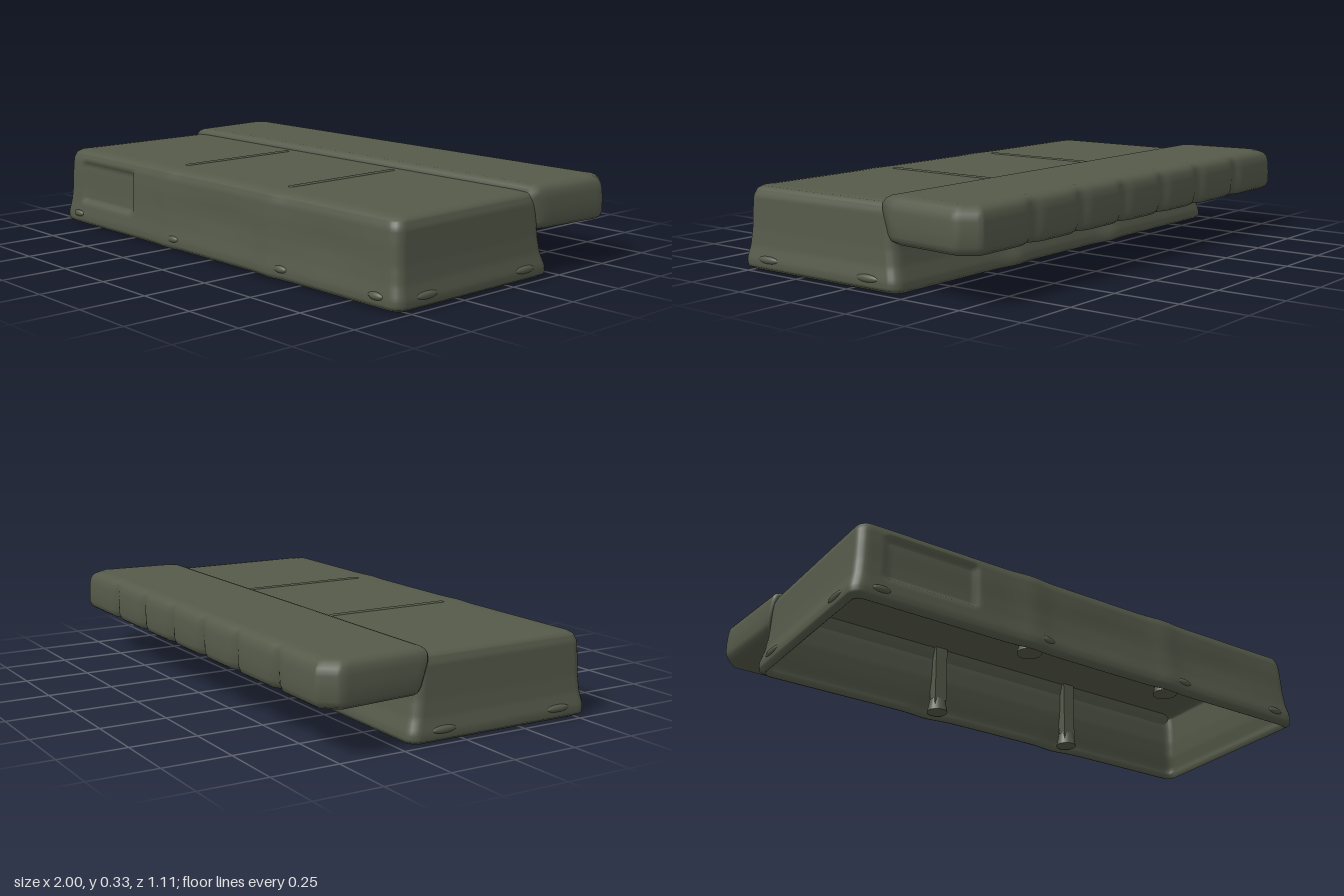
import * as THREE from 'three';

const lerp = THREE.MathUtils.lerp;
const smooth = THREE.MathUtils.smoothstep;
const bump = (v, centre, width) => Math.exp(-(((v - centre) / width) ** 2));

// Skin a stack of closed rings and close both ends with fans
function loft(rings) {
  const n = rings[0].length;
  const pos = rings.flat(2);
  const index = [];
  for (let j = 0; j < rings.length - 1; j++) {
    for (let i = 0; i < n; i++) {
      const a = j * n + i, b = j * n + (i + 1) % n;
      index.push(a, a + n, b, b, a + n, b + n);
    }
  }
  const cap = (ring, start, flip) => {
    const c = pos.length / 3;
    const zs = ring.map((p) => p[2]);
    pos.push(0, ring[0][1], (Math.min(...zs) + Math.max(...zs)) / 2);
    for (let i = 0; i < n; i++) {
      const a = start + i, b = start + (i + 1) % n;
      index.push(c, flip ? b : a, flip ? a : b);
    }
  };
  cap(rings[0], 0, false);
  cap(rings[rings.length - 1], (rings.length - 1) * n, true);
  const g = new THREE.BufferGeometry();
  g.setAttribute('position', new THREE.Float32BufferAttribute(pos, 3));
  g.setIndex(index);
  g.computeVertexNormals();
  return g;
}

// Rounded rectangle in plan, finely divided along its long edges
function roundedRing(hw, zf, zb, y, r) {
  const pts = [];
  const corner = (cx, cz, start) => {
    for (let i = 0; i <= 5; i++) {
      const a = start + (i / 5) * Math.PI / 2;
      pts.push([cx + r * Math.cos(a), y, cz + r * Math.sin(a)]);
    }
  };
  const edge = (x0, x1, z) => {
    for (let i = 1; i < 130; i++) pts.push([lerp(x0, x1, i / 130), y, z]);
  };
  corner(hw - r, zf - r, 0);
  edge(hw - r, r - hw, zf);
  corner(r - hw, zf - r, Math.PI / 2);
  corner(r - hw, zb + r, Math.PI);
  edge(r - hw, hw - r, zb);
  corner(hw - r, zb + r, Math.PI * 1.5);
  return pts;
}

// Wall profile: height, half width, front z, back z
const PROFILE = [
  [0.004, 0.965, 0.53, -0.2], [0.012, 0.983, 0.543, -0.212], [0.04, 0.985, 0.545, -0.211],
  [0.09, 0.973, 0.537, -0.195], [0.15, 0.967, 0.532, -0.185], [0.22, 0.964, 0.53, -0.18],
  [0.27, 0.962, 0.526, -0.18], [0.295, 0.952, 0.517, -0.17], [0.305, 0.94, 0.5, -0.16],
  [0.308, 0.91, 0.47, -0.13], [0.308, 0.89, 0.45, -0.11],
];
function wallAt(y) {
  let i = 0;
  while (i < PROFILE.length - 2 && PROFILE[i + 1][0] < y) i++;
  const [a, b] = [PROFILE[i], PROFILE[i + 1]];
  const t = (y - a[0]) / (b[0] - a[0]);
  return a.map((v, k) => lerp(v, b[k], t));
}

// Recessed front panel, and swellings along the front and back walls
function shapeWall([x, y, z]) {
  if (z > 0.46) {
    const inX = smooth(x, -0.87, -0.848) * (1 - smooth(x, -0.515, -0.493));
    const inY = smooth(y, 0.09, 0.108) * (1 - smooth(y, 0.252, 0.268));
    z -= 0.014 * inX * inY;
    z += 0.008 * (bump(x, -0.27, 0.06) + bump(x, 0.34, 0.06));
    z -= 0.006 * (bump(x, 0.05, 0.2) + bump(x, 0.63, 0.18)) * bump(y, 0.17, 0.08);
  } else if (z < -0.15) {
    z -= 0.014 * (bump(x, -0.27, 0.07) + bump(x, 0.34, 0.07)) * bump(y, 0.02, 0.06);
  }
  return [x, y, z];
}

function trayGeometry() {
  const rings = [];
  const add = (hw, zf, zb, y, r) => rings.push(roundedRing(hw, zf, zb, y, r).map(shapeWall));
  const T = 0.028;
  // Ceiling and inner walls, going down
  add(0.88, 0.45, -0.1, 0.28, 0.03);
  add(0.915, 0.485, -0.14, 0.28, 0.03);
  for (let i = 0; i <= 22; i++) {
    const [y, hw, zf, zb] = wallAt(lerp(0.268, 0.016, i / 22));
    add(hw - T, zf - T, zb + T, y, 0.03);
  }
  // Rim and outer walls, going up
  add(0.963, 0.522, -0.192, 0.002, 0.03);
  for (let i = 0; i <= 28; i++) {
    const [y, hw, zf, zb] = wallAt(lerp(0.004, 0.29, i / 28));
    add(hw, zf, zb, y, 0.04);
  }
  PROFILE.slice(7).forEach(([y, hw, zf, zb]) => add(hw, zf, zb, y, 0.04));
  return loft(rings);
}

// Overhanging rear box with a scalloped back edge
function rearGeometry() {
  const dips = [-0.67, -0.38, -0.12, 0.14, 0.4, 0.67];
  const ring = ([y, inset, depth]) => {
    const front = lerp(-0.165, -0.128, smooth(y, 0.18, 0.32)) - inset * 0.6;
    const pts = [];
    const line = (x0, z0, x1, z1, n) => {
      for (let i = 0; i < n; i++) pts.push([lerp(x0, x1, i / n), y, lerp(z0, z1, i / n)]);
    };
    const s = 0.975 - inset, w = 0.998 - inset, c = 0.945 - inset * 0.7;
    const back = -0.553 + inset, side = -0.49 + inset * 0.6;
    line(s - 0.012, front, 0.012 - s, front, 60);
    line(0.012 - s, front, -s, front - 0.012, 2);
    line(-s, front - 0.012, -w, side, 12);
    line(-w, side, -c, back, 5);
    for (let i = 0; i < 160; i++) {
      const x = lerp(-c, c, i / 160);
      const dip = dips.reduce((sum, d) => sum + bump(x, d, 0.032), 0);
      pts.push([x, y, back + depth * dip]);
    }
    line(c, back, w, side, 5);
    line(w, side, s, front - 0.012, 12);
    return pts;
  };
  return loft([
    [0.166, 0.07, 0], [0.166, 0.045, 0.014], [0.17, 0.022, 0.02], [0.18, 0.007, 0.022],
    [0.2, 0, 0.02], [0.24, 0, 0.016], [0.28, 0.002, 0.013], [0.305, 0.007, 0.01],
    [0.32, 0.018, 0.007], [0.328, 0.034, 0.003], [0.331, 0.055, 0], [0.331, 0.075, 0],
  ].map(ring));
}

export function createModel() {
  const model = new THREE.Group();
  const olive = new THREE.MeshStandardMaterial({ color: 0x555a4a });
  olive.name = 'olive drab';

  const add = (name, geometry, x = 0, y = 0, z = 0) => {
    const mesh = new THREE.Mesh(geometry, olive);
    mesh.name = name;
    mesh.position.set(x, y, z);
    model.add(mesh);
    return mesh;
  };

  add('hollowTray', trayGeometry());
  add('rearBox', rearGeometry());

  // Thin seams across the top
  for (const x of [-0.29, 0.32]) {
    const seam = add('topSeam', new THREE.CapsuleGeometry(0.012, 0.5, 4, 10), x, 0.307, 0.16);
    seam.rotation.x = Math.PI / 2;
    seam.scale.z = 0.45;
  }

  // Small clips low on the front and end walls
  const clip = new THREE.SphereGeometry(1, 16, 10);
  for (const x of [-0.88, -0.22, 0.41, 0.88]) {
    add('frontClip', clip, x, 0.046, 0.54).scale.set(0.035, 0.014, 0.014);
  }
  for (const side of [-1, 1]) {
    for (const z of [0.41, -0.08]) {
      add('endClip', clip, side * 0.979, 0.046, z).scale.set(0.013, 0.014, 0.052);
    }
  }

  // Ribs and bosses inside the hollow
  for (const x of [-0.25, 0.37]) {
    add('frontRib', new THREE.BoxGeometry(0.05, 0.25, 0.05), x, 0.16, 0.49);
    add('backRib', new THREE.BoxGeometry(0.05, 0.25, 0.04), x, 0.16, -0.145);
    add('frontBoss', new THREE.CylinderGeometry(0.035, 0.045, 0.05, 20), x, 0.037, 0.478);
    add('backBoss', new THREE.CylinderGeometry(0.03, 0.04, 0.05, 20), x, 0.037, -0.15);
  }
  return model;
}
